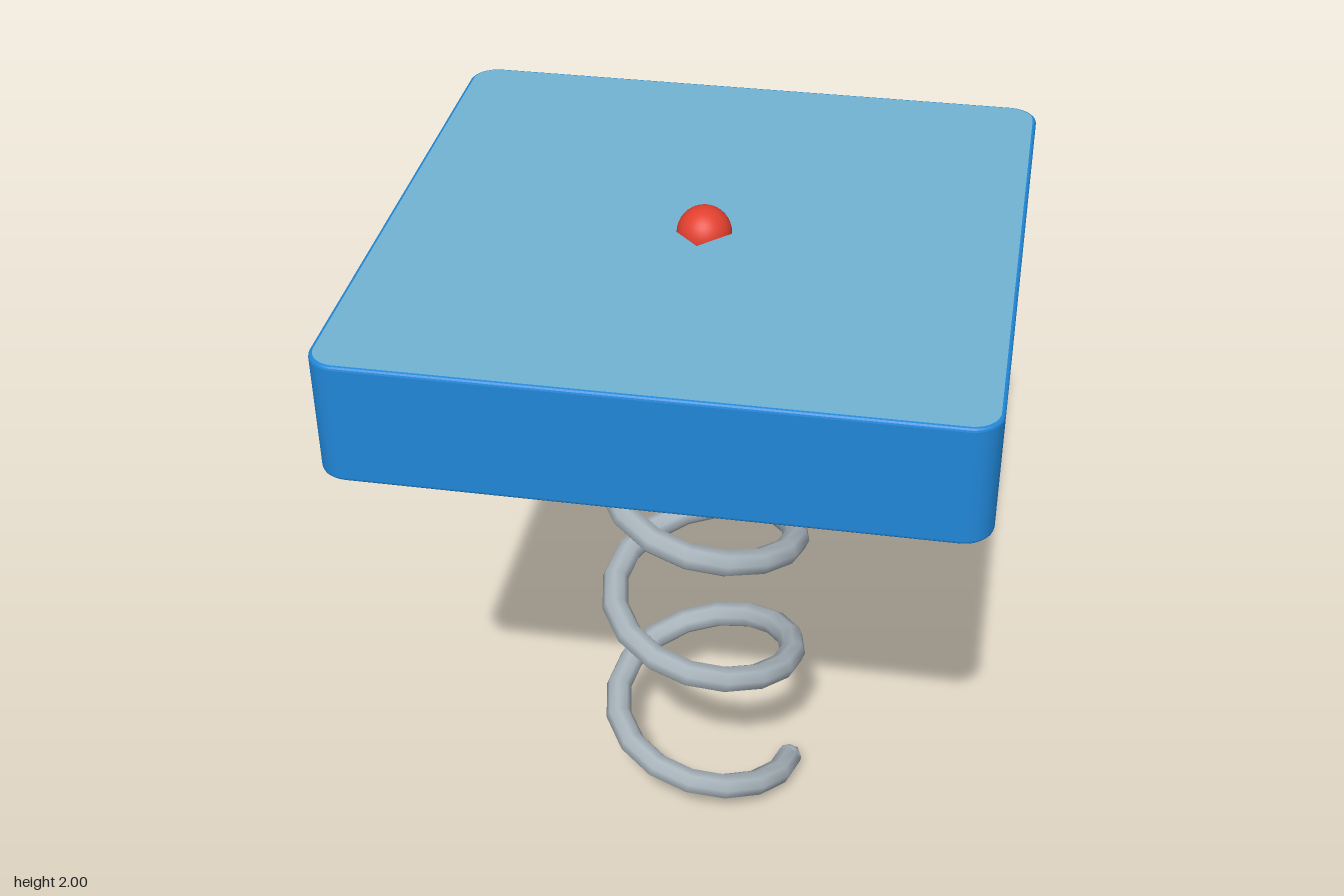
import * as THREE from 'three';
import { toCreasedNormals } from 'three/addons/utils/BufferGeometryUtils.js';

const material = (name, color, side = THREE.FrontSide) => {
  const m = new THREE.MeshStandardMaterial({ color, side });
  m.name = name;
  return m;
};

const HALF = 0.85, BOTTOM = 1.61, TOP = 1.95, BEVEL = 0.01, PIT = 0.12;

// square outline with rounded corners
function roundedSquare(h, r) {
  const s = new THREE.Shape();
  s.absarc(h - r, h - r, r, 0, Math.PI / 2);
  s.absarc(r - h, h - r, r, Math.PI / 2, Math.PI);
  s.absarc(r - h, r - h, r, Math.PI, Math.PI * 1.5);
  s.absarc(h - r, r - h, r, Math.PI * 1.5, Math.PI * 2);
  s.closePath();
  return s;
}

// keep only the walls of an extrusion, without its caps
function wallsOnly(extrusion) {
  const { start, count } = extrusion.groups[1];
  const pos = extrusion.attributes.position.array.slice(start * 3, (start + count) * 3);
  const g = new THREE.BufferGeometry();
  g.setAttribute('position', new THREE.BufferAttribute(pos, 3));
  return toCreasedNormals(g, 0.25);
}

// coil path rising around the y axis
class Helix extends THREE.Curve {
  getPoint(t, target = new THREE.Vector3()) {
    const a = t * 4 * Math.PI * 2;
    return target.set(0.275 * Math.cos(a), 0.04 + 1.76 * t, 0.275 * Math.sin(a));
  }
}

export function createModel() {
  const group = new THREE.Group();
  const blue = material('side blue', 0x2187d8);
  const paleBlue = material('pale blue', 0x72b4d3);
  const red = material('ball red', 0xe2402f);
  const steel = material('spring steel', 0xa6b1b9, THREE.DoubleSide);

  const add = (name, geometry, mat) => {
    const mesh = new THREE.Mesh(geometry, mat);
    mesh.name = name;
    group.add(mesh);
    return mesh;
  };

  // block walls with a fine bevel at top and bottom
  const walls = wallsOnly(new THREE.ExtrudeGeometry(roundedSquare(HALF - BEVEL, 0.07), {
    depth: TOP - BOTTOM - 2 * BEVEL, curveSegments: 8,
    bevelSize: BEVEL, bevelThickness: BEVEL, bevelSegments: 3,
  }));
  walls.rotateX(-Math.PI / 2).translate(0, BOTTOM + BEVEL, 0);
  add('blockWalls', walls, blue);

  // top face with a diamond opening
  const face = roundedSquare(HALF - BEVEL, 0.07);
  face.holes.push(new THREE.Path([[PIT, 0], [0, -PIT], [-PIT, 0], [0, PIT]]
    .map(([x, y]) => new THREE.Vector2(x, y))));
  add('blockTop', new THREE.ShapeGeometry(face, 8)
    .rotateX(-Math.PI / 2).translate(0, TOP, 0), paleBlue);

  // bottom face
  add('blockBottom', new THREE.ShapeGeometry(roundedSquare(HALF - BEVEL, 0.07), 8)
    .rotateX(Math.PI / 2).translate(0, BOTTOM, 0), paleBlue);

  // inverted pyramid pit, its faces turned inward
  const corner = (i) => [PIT * Math.cos(i * Math.PI / 2), TOP, PIT * Math.sin(i * Math.PI / 2)];
  const pitPoints = [];
  for (let i = 0; i < 4; i++) pitPoints.push(...corner(i), 0, TOP - 0.12, 0, ...corner(i + 1));
  const pit = new THREE.BufferGeometry();
  pit.setAttribute('position', new THREE.Float32BufferAttribute(pitPoints, 3));
  pit.computeVertexNormals();
  if (pit.attributes.normal.getY(0) < 0) {
    pit.setIndex([0, 2, 1, 3, 5, 4, 6, 8, 7, 9, 11, 10]);
    pit.computeVertexNormals();
  }
  add('pit', pit, paleBlue);

  // ball resting in the pit
  add('ball', new THREE.SphereGeometry(0.075, 32, 20), red).position.y = 1.925;

  // coil spring with a rounded lower end
  const helix = new Helix();
  add('spring', new THREE.TubeGeometry(helix, 64, 0.04, 8, false), steel);
  add('springEnd', new THREE.SphereGeometry(0.04, 8, 6), steel).position.copy(helix.getPoint(0));

  return group;
}
